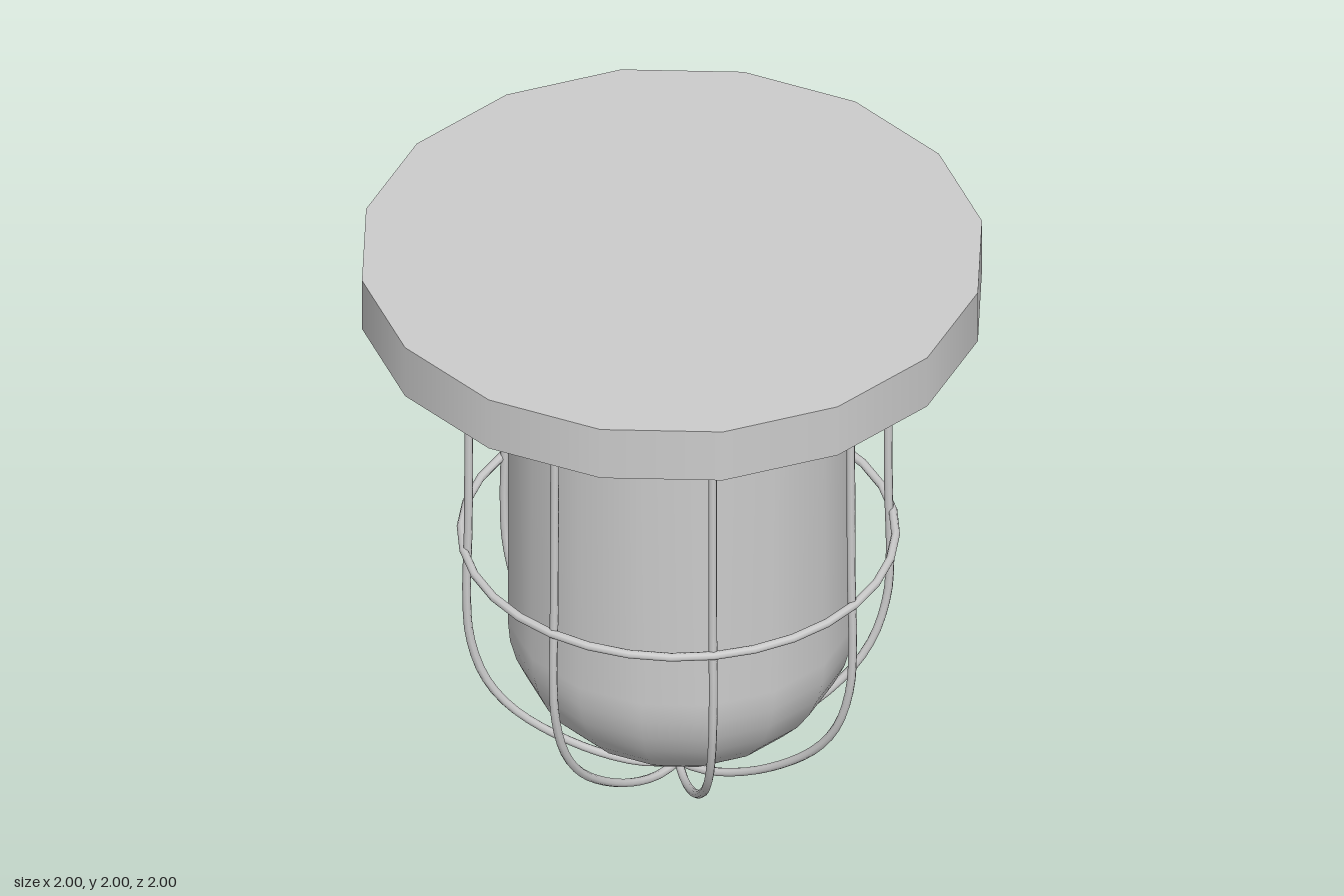
import * as THREE from 'three';

export function createModel() {
  const group = new THREE.Group();
  const material = new THREE.MeshStandardMaterial({ color: 0xcccccc });
  const add = (name, geometry, parent = group) => {
    const mesh = new THREE.Mesh(geometry, material);
    mesh.name = name;
    parent.add(mesh);
    return mesh;
  };

  // Ceiling plate
  add('mountingPlate', new THREE.CylinderGeometry(1, 1, 0.19, 16)).position.y = 1.905;

  // Lamp glass: straight wall running into an elliptical dome
  const radius = 0.56, domeTop = 0.62, domeHeight = 0.5;
  const profile = [];
  for (let i = 0; i <= 10; i++) {
    const a = (i / 10) * Math.PI / 2;
    profile.push(new THREE.Vector2(radius * Math.sin(a), domeTop - domeHeight * Math.cos(a)));
  }
  profile.push(new THREE.Vector2(radius, 1.79));
  const glass = new THREE.Group();
  glass.name = 'lampGlass';
  glass.position.set(0.01, 0, 0.03);
  group.add(glass);
  add('glassDome', new THREE.LatheGeometry(profile, 16), glass);
  add('glassTop', new THREE.CircleGeometry(radius, 16).rotateX(-Math.PI / 2), glass).position.y = 1.79;

  // Wire guard: four U-shaped wires crossing at the bottom, plus a ring
  const cage = new THREE.Group();
  cage.name = 'wireGuard';
  cage.position.set(-0.007, 0, 0.03);
  group.add(cage);

  const half = [
    [0.674, 1.82], [0.676, 1.4], [0.678, 1.0], [0.683, 0.75], [0.672, 0.58],
    [0.62, 0.41], [0.52, 0.27], [0.31, 0.11], [0.12, 0.027],
  ];
  const points = [
    ...half.map(([x, y]) => new THREE.Vector3(-x, y, 0)),
    new THREE.Vector3(0, 0.016, 0),
    ...half.map(([x, y]) => new THREE.Vector3(x, y, 0)).reverse(),
  ];
  const wire = new THREE.TubeGeometry(new THREE.CatmullRomCurve3(points), 80, 0.014, 8);
  for (let i = 0; i < 4; i++) add('guardWire', wire, cage).rotation.y = i * Math.PI / 4;

  const ring = new THREE.TorusGeometry(0.692, 0.014, 8, 32).rotateX(Math.PI / 2);
  add('guardRing', ring, cage).position.y = 0.92;

  return group;
}
